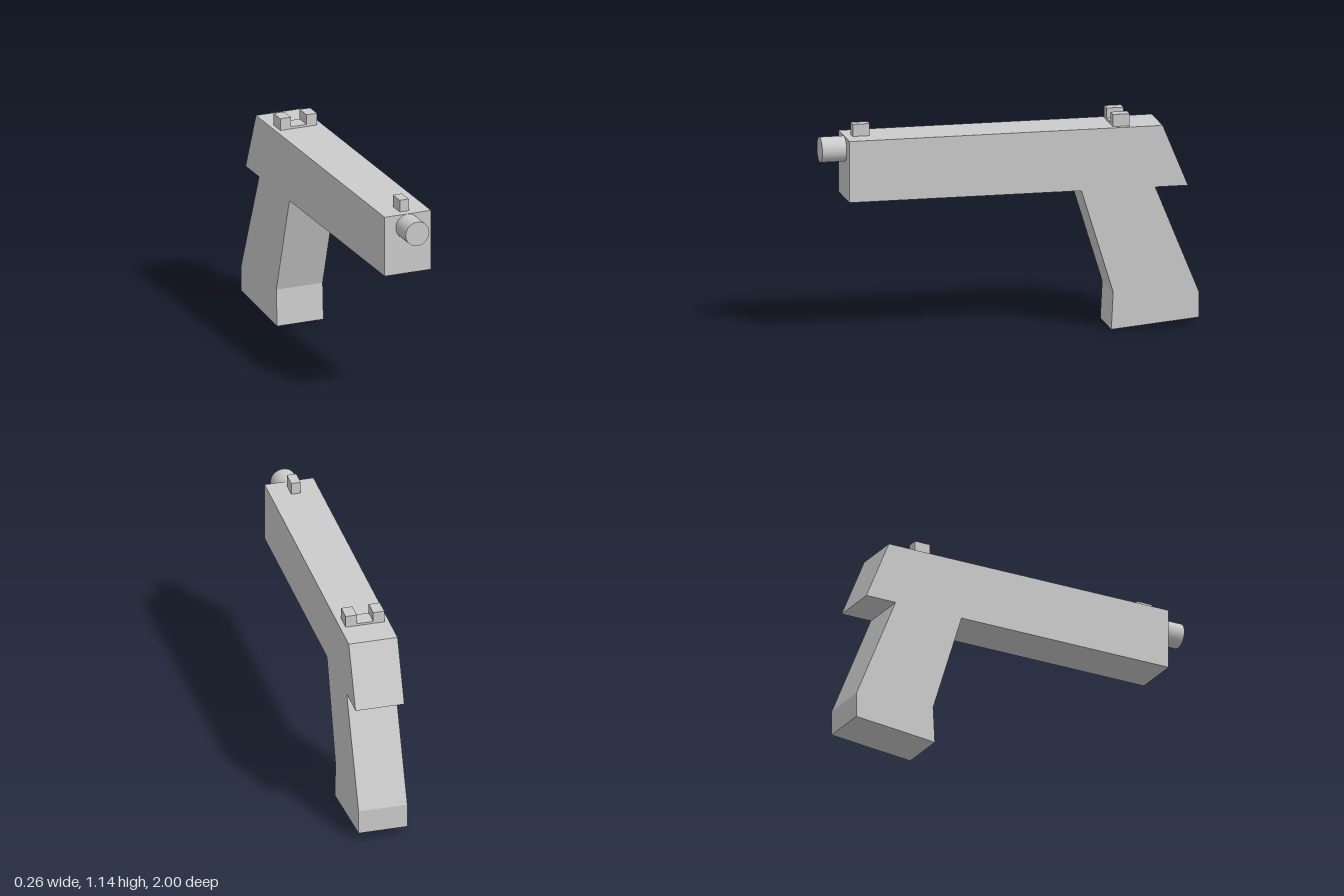
import * as THREE from 'three';

export function createModel() {
  const model = new THREE.Group();
  const material = new THREE.MeshStandardMaterial({ color: 0xcccccc });

  function add(name, geometry, x = 0, y = 0, z = 0, parent = model) {
    const mesh = new THREE.Mesh(geometry, material);
    mesh.name = name;
    mesh.position.set(x, y, z);
    parent.add(mesh);
    return mesh;
  }

  // Side profile (z, y) extruded across the width: slide and grip in one piece
  const width = 0.264;
  const outline = [
    [0.87, 1.08], [-0.805, 1.08], [-0.94, 0.752], [-0.765, 0.752],
    [-1, 0.175], [-1, 0.042], [-0.53, 0], [-0.54, 0.2],
    [-0.37, 0.752], [0.87, 0.752],
  ];
  const profile = new THREE.Shape(outline.map(([z, y]) => new THREE.Vector2(z, y)));
  const body = new THREE.ExtrudeGeometry(profile, { depth: width, bevelEnabled: false });
  body.translate(0, 0, -width / 2).rotateY(-Math.PI / 2);
  add('slideAndGrip', body);

  // Barrel end
  const barrel = new THREE.CylinderGeometry(0.067, 0.067, 0.15, 32).rotateX(Math.PI / 2);
  add('barrel', barrel, -0.002, 1.012, 0.925);

  // A sight post with a round dot on its rear face
  function addSight(name, x, z, w) {
    const sight = new THREE.Group();
    sight.name = name;
    sight.position.set(x, 1.08, z);
    add(name + 'Post', new THREE.BoxGeometry(w, 0.065, 0.09), 0, 0.0325, 0, sight);
    const dot = new THREE.CircleGeometry(0.019, 20).rotateY(Math.PI);
    add(name + 'Dot', dot, 0, 0.034, -0.0465, sight);
    model.add(sight);
  }
  addSight('frontSight', -0.002, 0.783, 0.051);
  for (const side of [-1, 1]) {
    addSight(side > 0 ? 'leftRearSight' : 'rightRearSight', -0.002 + side * 0.0745, -0.59, 0.06);
  }

  // Low bridge between the rear posts
  add('rearSightBase', new THREE.BoxGeometry(0.1, 0.012, 0.09), -0.002, 1.086, -0.59);

  return model;
}
